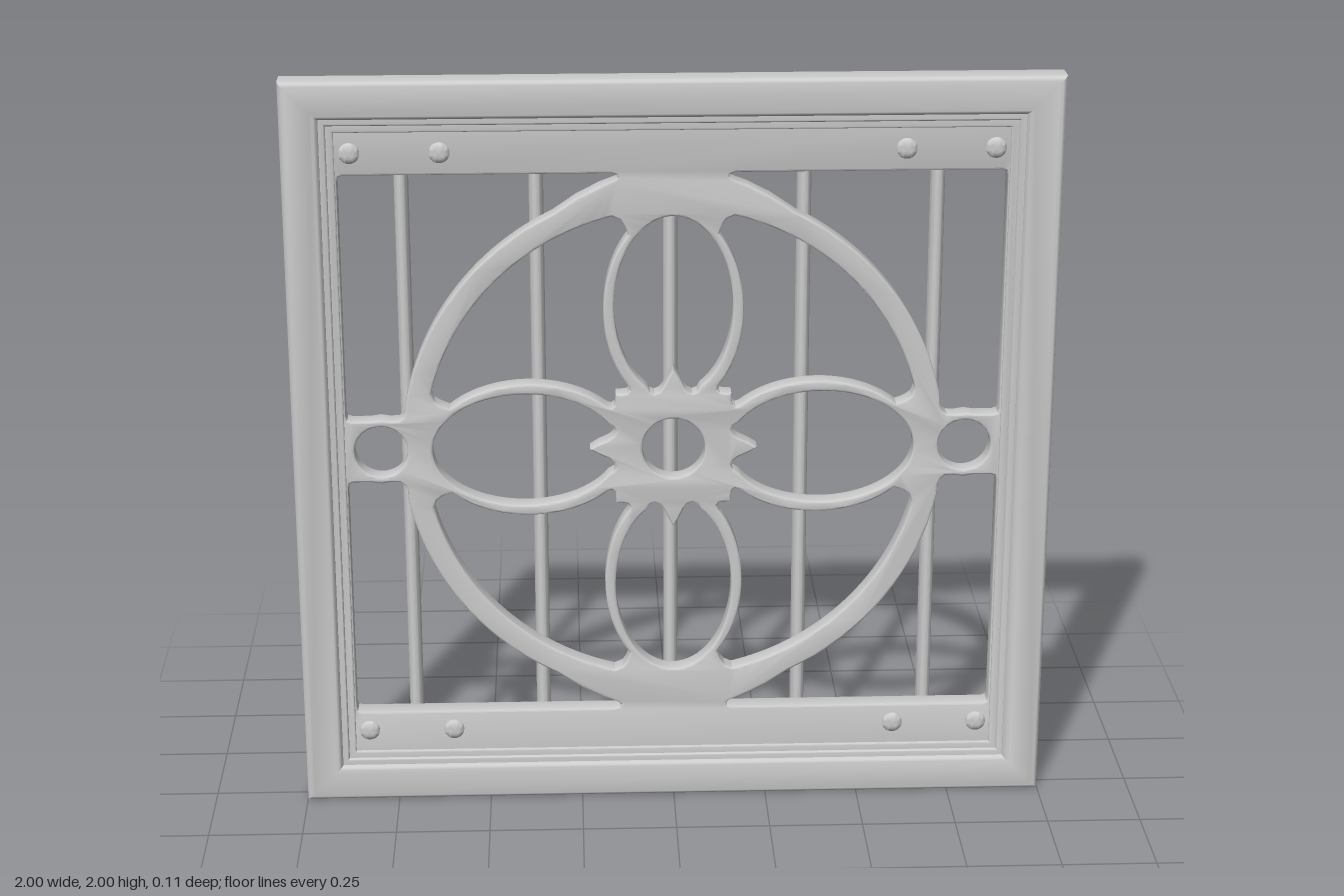
import * as THREE from 'three';
import { toCreasedNormals } from 'three/addons/utils/BufferGeometryUtils.js';

const material = new THREE.MeshStandardMaterial({ color: 0xcccccc, side: THREE.DoubleSide });

function addMesh(parent, name, geometry, x = 0, y = 0, z = 0) {
  const mesh = new THREE.Mesh(geometry, material);
  mesh.name = name;
  mesh.position.set(x, y, z);
  parent.add(mesh);
  return mesh;
}

const toPoints = (list) => list.map(([x, y]) => new THREE.Vector2(x, y));

// points along an elliptical arc, angles in degrees from +x
function arc(cx, cy, rx, ry, from, to, n = 32) {
  return Array.from({ length: n + 1 }, (_, i) => {
    const a = THREE.MathUtils.degToRad(from + ((to - from) * i) / n);
    return [cx + rx * Math.cos(a), cy + ry * Math.sin(a)];
  });
}

const circle = (x, y, r) => arc(x, y, r, r, 0, 360, 40).slice(0, -1);
const square = (h) => [[-h, -h], [h, -h], [h, h], [-h, h]];

// extrude an outline with holes between two depths, with rounded edges
function plate(outline, holes, zBack, zFront, bevel, segments = 3) {
  const shape = new THREE.Shape(toPoints(outline));
  shape.holes = holes.map((h) => new THREE.Path(toPoints(h)));
  const geometry = new THREE.ExtrudeGeometry(shape, {
    depth: zFront - zBack - 2 * bevel, bevelEnabled: bevel > 0, bevelSize: bevel,
    bevelThickness: bevel, bevelOffset: -bevel, bevelSegments: segments,
  });
  geometry.translate(0, 0, zBack + bevel);
  return toCreasedNormals(geometry, 0.6);
}

// petal opening pointing up, with the hub's spike cutting into its lower end
function petalHole() {
  const side = [
    ...arc(0, 0.39, 0.155, 0.245, 90, -63, 30),
    [0.062, 0.157], [0.05, 0.152], [0.037, 0.158], [0.026, 0.172], [0.014, 0.198],
  ];
  return [...side, [0, 0.22], ...side.slice(1).reverse().map(([x, y]) => [-x, y])];
}

// opening between two petals and the large ring
function innerHole() {
  const side = [
    [0.138, 0.627], [0.128, 0.613], [0.122, 0.6],
    ...arc(0, 0.38, 0.183, 0.27, 50, -50, 24),
    [0.115, 0.163], [0.121, 0.155], [0.134, 0.153],
  ];
  const mirrored = side.slice().reverse().map(([x, y]) => [y, x]);
  return [...arc(0, 0, 0.655, 0.655, 14, 76, 36), ...side, [0.152, 0.152], ...mirrored];
}

// opening between the large ring and the panel corner
function cornerHole() {
  return [
    [0.86, 0.735], [0.856, 0.746], [0.845, 0.75],
    [0.16, 0.75], [0.146, 0.746], [0.143, 0.739], [0.15, 0.732], [0.19, 0.717], [0.25, 0.686],
    ...arc(0, 0, 0.715, 0.715, 64, 11, 32),
    [0.703, 0.11], [0.71, 0.095], [0.722, 0.086], [0.745, 0.085],
    [0.77, 0.089], [0.795, 0.085], [0.845, 0.085], [0.856, 0.089], [0.86, 0.1],
  ];
}

export function createModel() {
  const group = new THREE.Group();
  group.name = 'ornamentalGrille';

  // outer frame and the two stepped mouldings inside it
  addMesh(group, 'frame', plate(square(1), [square(0.9)], -0.04, 0.055, 0.018, 4), 0, 1);
  addMesh(group, 'outerMoulding', plate(square(0.92), [square(0.883)], -0.02, 0.04, 0.006), 0, 1);
  addMesh(group, 'innerMoulding', plate(square(0.9), [square(0.864)], -0.02, 0.033, 0.005), 0, 1);

  // pierced panel: rails, ring, four petals and hub
  const holes = [circle(0, 0, 0.083)];
  const petal = petalHole();
  const inner = innerHole();
  const corner = cornerHole();
  for (const s of [-1, 1]) {
    holes.push(petal.map(([x, y]) => [x, s * y]));
    holes.push(petal.map(([x, y]) => [s * y, x]));
    holes.push(circle(s * 0.77, 0, 0.07));
    for (const t of [-1, 1]) {
      holes.push(inner.map(([x, y]) => [s * x, t * y]));
      holes.push(corner.map(([x, y]) => [s * x, t * y]));
    }
  }
  addMesh(group, 'piercedPanel', plate(square(0.91), holes, -0.03, 0.026, 0.006), 0, 1);

  // vertical bars behind the panel: flat back, rounded front
  const barShape = new THREE.Shape(toPoints(arc(0, 0, 0.019, 0.03, 0, 180, 14)));
  const barGeometry = new THREE.ExtrudeGeometry(barShape, { depth: 1.6, bevelEnabled: false });
  barGeometry.rotateX(-Math.PI / 2).rotateY(Math.PI).translate(0, 0.2, -0.055);
  const smoothBar = toCreasedNormals(barGeometry, 0.6);
  for (let i = -2; i <= 2; i++) addMesh(group, 'bar', smoothBar, i * 0.347 - 0.006, 0, 0);

  // low domed rivets on the rails
  const rivet = toCreasedNormals(new THREE.LatheGeometry(toPoints([
    [0.027, -0.01], [0.027, 0.004], [0.023, 0.009], [0.013, 0.012], [0, 0.013],
  ]), 24).rotateX(Math.PI / 2), 0.7);
  for (const x of [-0.826, -0.597, 0.597, 0.826]) {
    for (const y of [0.197, 1.81]) addMesh(group, 'rivet', rivet, x, y, 0.026);
  }
  return group;
}
